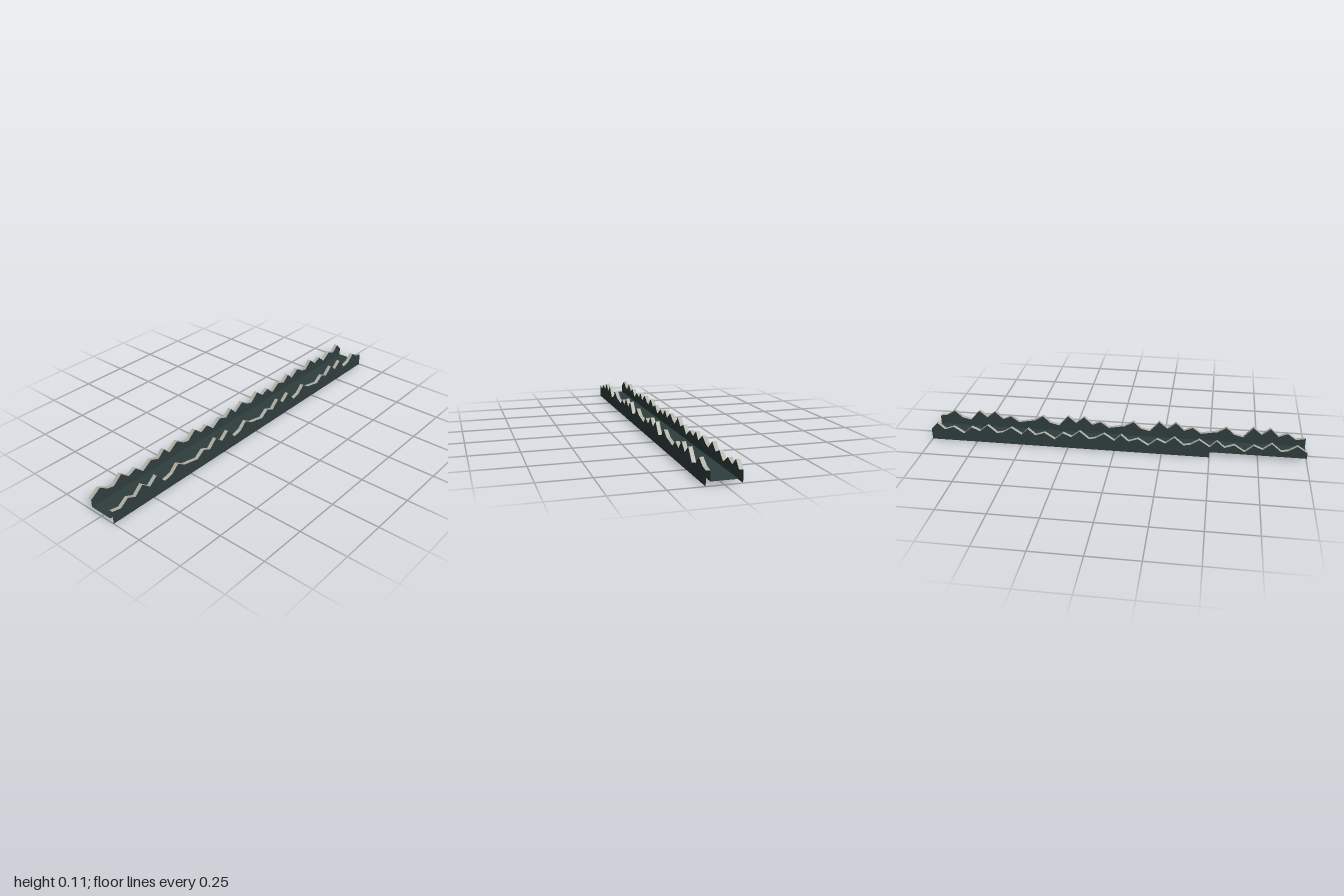
import * as THREE from 'three';

const OUTER = 0.083, INNER = 0.063, FLOOR = 0.02, TILES = 4, TILE = 0.5;

// Jagged crest of one tile: [fraction along tile from the front, height]
const crestLeft = [[0, 0.068], [0.1, 0.058], [0.19, 0.09], [0.28, 0.07], [0.37, 0.112], [0.46, 0.075],
  [0.55, 0.112], [0.65, 0.054], [0.75, 0.066], [0.83, 0.103], [0.92, 0.075], [1, 0.068]];
const crestRight = [[0, 0.06], [0.11, 0.097], [0.2, 0.068], [0.27, 0.06], [0.37, 0.102], [0.46, 0.065],
  [0.55, 0.085], [0.64, 0.045], [0.75, 0.08], [0.85, 0.062], [0.93, 0.097], [1, 0.06]];

const wallMat = new THREE.MeshStandardMaterial({ color: 0x2f3f3e, side: THREE.DoubleSide });
wallMat.name = 'darkGreen';
const crestMat = new THREE.MeshStandardMaterial({ color: 0xb2b1a7, side: THREE.DoubleSide });
crestMat.name = 'stoneGrey';

// Strip of flat quads between two matching lines of points
function strip(a, b, flip) {
  const pos = [];
  for (let i = 0; i < a.length - 1; i++) {
    const quad = [a[i], b[i], b[i + 1], a[i], b[i + 1], a[i + 1]];
    if (flip) quad.reverse();
    quad.forEach((p) => pos.push(...p));
  }
  const geo = new THREE.BufferGeometry();
  geo.setAttribute('position', new THREE.Float32BufferAttribute(pos, 3));
  geo.computeVertexNormals();
  return geo;
}

function addMesh(parent, name, geo, mat) {
  const mesh = new THREE.Mesh(geo, mat);
  mesh.name = name;
  parent.add(mesh);
}

// One wall tile: inner sheet, sloping crest and (optionally) outer sheet
function wallTile(side, crest, zFront, withOuter) {
  const tile = new THREE.Group();
  const line = (x, base) => crest.map(([t, y]) => [side * x, base ?? y, zFront - t * TILE]);
  const left = side > 0;
  addMesh(tile, 'crest', strip(line(INNER), line(OUTER), !left), crestMat);
  addMesh(tile, 'innerSheet', strip(line(INNER, FLOOR), line(INNER), !left), wallMat);
  if (withOuter) addMesh(tile, 'outerSheet', strip(line(OUTER), line(OUTER, 0), !left), wallMat);
  return tile;
}

export function createModel() {
  const model = new THREE.Group();
  model.name = 'trench';

  // Channel floor
  const floor = new THREE.PlaneGeometry(INNER * 2, TILES * TILE).rotateX(-Math.PI / 2).translate(0, FLOOR, 0);
  addMesh(model, 'floor', floor, wallMat);

  // Walls; the front tile of the right wall is open on the outside
  for (let i = 0; i < TILES; i++) {
    const zFront = 1 - i * TILE;
    const left = wallTile(1, crestLeft, zFront, true);
    left.name = 'leftWall';
    const right = wallTile(-1, crestRight, zFront, i > 0);
    right.name = 'rightWall';
    model.add(left, right);
  }
  return model;
}
